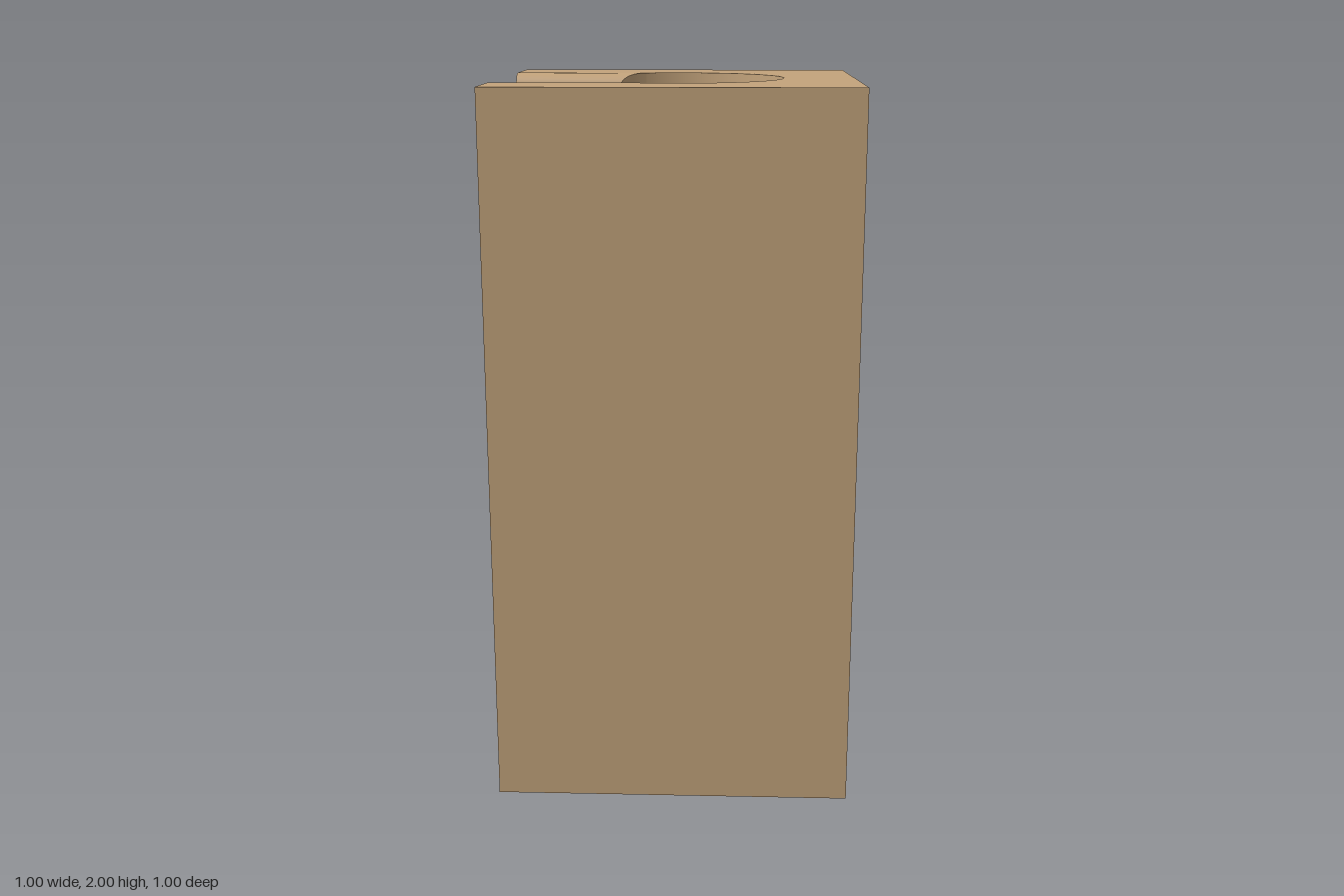
import * as THREE from 'three';

const W = 0.5, H = 2;                         // half width and height of the block
const SHAFT = 0.3, WELL = 0.268, LEDGE = 1;   // upper shaft, narrower lower well, ledge height
const BORE = 0.235, FILLET = 0.045;           // channel radius, rounded lip of the slot
const LIP = BORE + FILLET;
const SLOT_Y = 1.485;                         // centre of the slot's round bottom
const FLOOR = 0.735, BEND = 1.14, BEND_X = -0.12, BACK = -0.3; // lower channel bending downwards

const lerp = THREE.MathUtils.lerp;

// Smooth surface from a rule p(u, v) -> [x, y, z]
function sheet(nu, nv, p) {
  const pos = [], idx = [];
  for (let i = 0; i <= nu; i++) for (let j = 0; j <= nv; j++) pos.push(...p(i / nu, j / nv));
  for (let i = 0; i < nu; i++) for (let j = 0; j < nv; j++) {
    const a = i * (nv + 1) + j, b = a + nv + 1;
    idx.push(a, b, a + 1, b, b + 1, a + 1);
  }
  const g = new THREE.BufferGeometry();
  g.setAttribute('position', new THREE.Float32BufferAttribute(pos, 3));
  g.setIndex(idx);
  g.computeVertexNormals();
  return g;
}

// Distance from the axis to a circle of radius r at offset z
const chord = (r, z) => Math.sqrt(Math.max(0, r * r - z * z));

// Height of the bent channel's surface at x, for a bore offset dy above its axis
function channelY(x, dy) {
  const rho = BEND + dy, d = Math.max(0, x - BEND_X);
  return FLOOR - BEND + Math.sqrt(rho * rho - d * d);
}

// Slot outline as (z, y): rounded lip, wall, round bottom, wall, rounded lip
function slotProfile() {
  const pts = [];
  for (let i = 0; i <= 8; i++) {
    const t = i / 8 * Math.PI / 2;
    pts.push([LIP - FILLET * Math.sin(t), H - FILLET + FILLET * Math.cos(t)]);
  }
  for (let i = 0; i <= 32; i++) {
    const t = -i / 32 * Math.PI;
    pts.push([BORE * Math.cos(t), SLOT_Y + BORE * Math.sin(t)]);
  }
  for (let i = 8; i >= 0; i--) pts.push([-pts[i][0], pts[i][1]]);
  return pts;
}

export function createModel() {
  const group = new THREE.Group();
  const wood = new THREE.MeshStandardMaterial({ color: 0xc4a47c, side: THREE.DoubleSide });
  wood.name = 'wood';
  const add = (name, geometry) => {
    const m = new THREE.Mesh(geometry, wood);
    m.name = name;
    group.add(m);
    return m;
  };
  const profile = slotProfile(), n = profile.length - 1;
  const v2 = ([x, y]) => new THREE.Vector2(x, y);

  // Plain outer faces
  add('frontFace', new THREE.PlaneGeometry(2 * W, H).translate(0, H / 2, W));
  add('backFace', new THREE.PlaneGeometry(2 * W, H).rotateY(Math.PI).translate(0, H / 2, -W));
  add('bottomFace', new THREE.PlaneGeometry(2 * W, 2 * W).rotateX(Math.PI / 2));

  // Top face around shaft and slot
  const a0 = Math.PI - Math.asin(LIP / SHAFT);
  const top = new THREE.Shape();
  top.moveTo(-W, -W).lineTo(W, -W).lineTo(W, W).lineTo(-W, W).lineTo(-W, LIP);
  top.lineTo(-chord(SHAFT, LIP), LIP);
  top.absarc(0, 0, SHAFT, a0, -a0, true);
  top.lineTo(-W, -LIP);
  add('topFace', new THREE.ShapeGeometry(top, 64).rotateX(-Math.PI / 2).translate(0, H, 0));

  // Side face with the slot cut into it
  const slotted = new THREE.Shape([[-W, H], [-W, 0], [W, 0], [W, H], ...profile].map(v2));
  add('slottedFace', new THREE.ShapeGeometry(slotted).rotateY(-Math.PI / 2).translate(-W, 0, 0));

  // Side face with the exit opening
  const exitFace = new THREE.Shape([[-W, 0], [W, 0], [W, H], [-W, H]].map(v2));
  const opening = [];
  for (let i = 0; i < 64; i++) {
    const t = i / 64 * Math.PI * 2;
    opening.push(v2([BORE * Math.sin(t), channelY(W, BORE * Math.cos(t))]));
  }
  exitFace.holes.push(new THREE.Path(opening));
  add('exitFace', new THREE.ShapeGeometry(exitFace).rotateY(Math.PI / 2).translate(W, 0, 0));

  // Slot surface, running from the side face to the shaft
  add('slot', sheet(n, 1, (u, v) => {
    const [z, y] = profile[Math.round(u * n)];
    return [lerp(-W, -chord(SHAFT, z), v), y, z];
  }));

  // Upper shaft: full-height wall, and the part below the slot
  add('shaftWall', sheet(64, 1, (u, v) => {
    const a = lerp(-a0, a0, u);
    return [SHAFT * Math.cos(a), lerp(LEDGE, H, v), SHAFT * Math.sin(a)];
  }));
  const under = profile.slice(9, -9), m = under.length - 1;
  add('shaftWallBelowSlot', sheet(m, 1, (u, v) => {
    const [z, y] = under[Math.round(u * m)];
    return [-chord(SHAFT, z), lerp(LEDGE, y, v), z];
  }));
  for (const s of [1, -1]) add('shaftWallBesideSlot', sheet(8, 1, (u, v) => {
    const [z, y] = profile[Math.round(u * 8)];
    return [-chord(SHAFT, z), lerp(LEDGE, y, v), s * z];
  }));

  // Ledge and narrower well below it
  add('ledge', new THREE.RingGeometry(WELL, SHAFT, 96).rotateX(-Math.PI / 2).translate(0, LEDGE, 0));
  add('wellWall', sheet(128, 1, (u, v) => {
    const a = u * Math.PI * 2, x = WELL * Math.cos(a), z = WELL * Math.sin(a);
    const low = Math.abs(z) < BORE ? Math.max(FLOOR, channelY(x, chord(BORE, z))) : FLOOR;
    return [x, lerp(low, LEDGE, v), z];
  }));

  // Flat crescents of floor on both sides of the channel
  for (const s of [1, -1]) add('wellFloor', sheet(24, 1, (u, v) => {
    const x = lerp(-chord(WELL, BORE), 0.155, u);
    const inner = chord(BORE, Math.hypot(Math.max(0, x - BEND_X), BEND) - BEND);
    return [x, FLOOR, s * lerp(inner, Math.max(inner, chord(WELL, inner > 0 ? x : 0)), v)];
  }));

  // Lower channel: open trough, then its roof on each side of the well
  const bore = (t, x) => [x, channelY(x, BORE * Math.cos(t)), BORE * Math.sin(t)];
  add('channelTrough', sheet(32, 32, (u, v) =>
    bore(lerp(Math.PI / 2, Math.PI * 1.5, u), lerp(BACK, W, v))));
  add('channelRoof', sheet(32, 24, (u, v) => {
    const t = lerp(-Math.PI / 2, Math.PI / 2, u), rho = BEND + BORE * Math.cos(t);
    const meet = BEND_X + Math.sqrt(Math.max(0, rho * rho - BEND * BEND));
    return bore(t, lerp(Math.min(chord(WELL, BORE * Math.sin(t)), meet), W, v));
  }));
  add('channelBackRoof', sheet(32, 1, (u, v) => {
    const t = lerp(-Math.PI / 2, Math.PI / 2, u);
    return bore(t, lerp(BACK, -chord(WELL, BORE * Math.sin(t)), v));
  }));
  add('channelBackWall', new THREE.CircleGeometry(BORE, 48).rotateY(Math.PI / 2).translate(BACK, FLOOR, 0));

  return group;
}
